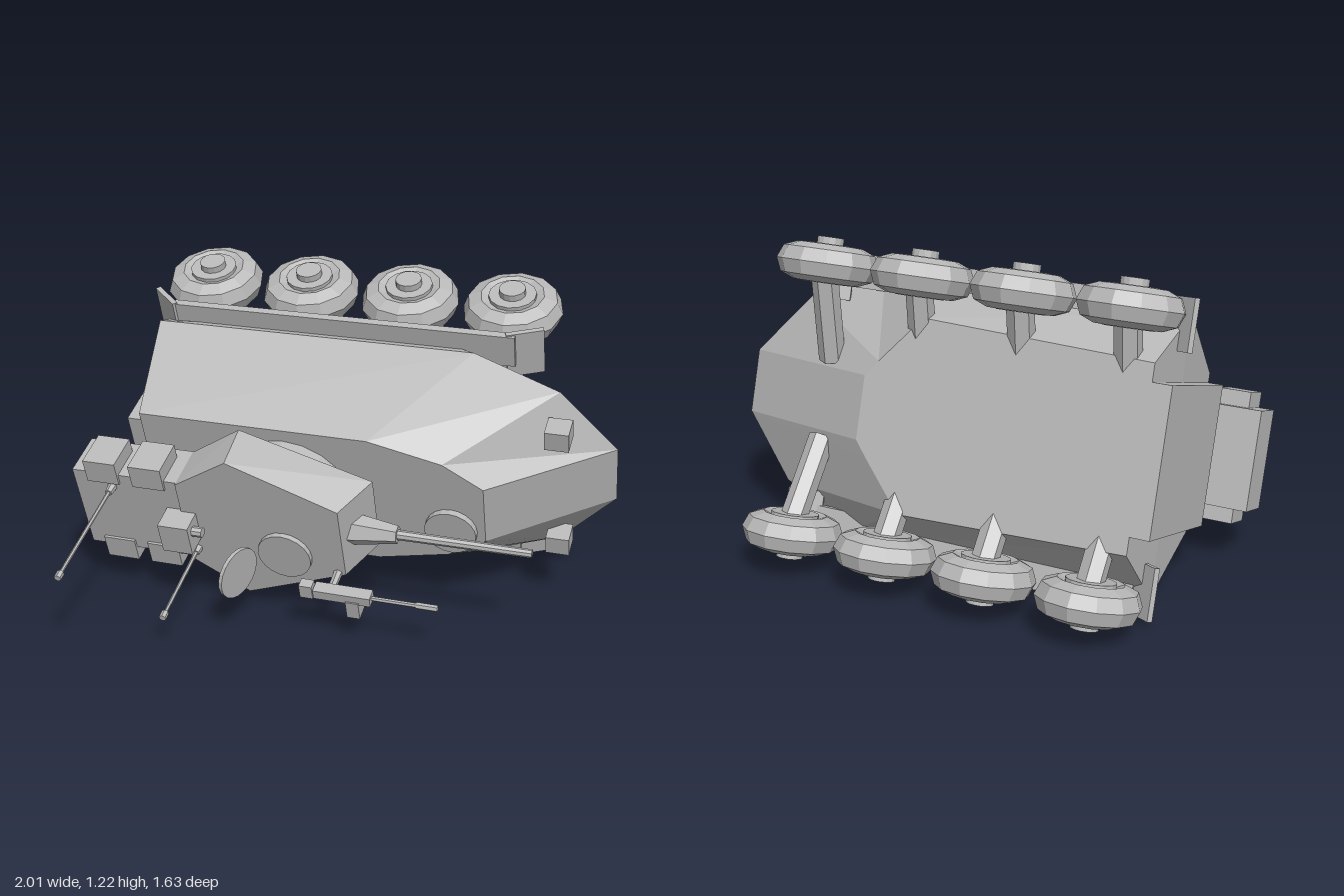
import * as THREE from 'three';

const grey = new THREE.MeshStandardMaterial({ color: 0xb8b8b8 });

// Vehicle space: x forward, y left, z up.
function add(parent, name, geometry, pos = [0, 0, 0], rot = [0, 0, 0]) {
  const flat = geometry.index ? geometry.toNonIndexed() : geometry;
  flat.computeVertexNormals();
  const mesh = new THREE.Mesh(flat, grey);
  mesh.name = name;
  mesh.position.set(...pos);
  mesh.rotation.set(...rot);
  parent.add(mesh);
  return mesh;
}

const box = (x, y, z) => new THREE.BoxGeometry(x, y, z);
const cyl = (top, bottom, h, n) => new THREE.CylinderGeometry(top, bottom, h, n);

// Straight rod between two points
function rod(parent, name, a, b, r0, r1, sides) {
  const p = new THREE.Vector3(...a), q = new THREE.Vector3(...b);
  const mesh = add(parent, name, cyl(r1, r0, p.distanceTo(q), sides));
  mesh.position.copy(p).lerp(q, 0.5);
  mesh.quaternion.setFromUnitVectors(new THREE.Vector3(0, 1, 0), q.sub(p).normalize());
}

// Closed body lofted through mirrored outlines, listed from bottom to top
function loft(levels) {
  const rings = levels.map(({ z, half }) => [
    ...half.map(([x, y]) => [x, -y, z]),
    ...half.slice().reverse().map(([x, y]) => [x, y, z]),
  ]);
  const n = rings[0].length, out = [];
  const tri = (...points) => points.forEach((p) => out.push(...p));
  for (let k = 0; k < rings.length - 1; k++) {
    const lo = rings[k], hi = rings[k + 1];
    for (let i = 0; i < n; i++) {
      const j = (i + 1) % n;
      tri(lo[i], lo[j], hi[j]);
      tri(lo[i], hi[j], hi[i]);
    }
  }
  const bottom = rings[0], top = rings[rings.length - 1];
  for (let i = 1; i < n - 1; i++) {
    tri(bottom[0], bottom[i + 1], bottom[i]);
    tri(top[0], top[i], top[i + 1]);
  }
  const g = new THREE.BufferGeometry();
  g.setAttribute('position', new THREE.Float32BufferAttribute(out, 3));
  return g;
}

function buildHull(v) {
  add(v, 'hull', loft([
    { z: -0.43, half: [[-0.76, 0.33], [0.13, 0.36], [0.29, 0.18], [0.34, 0.12]] },
    { z: -0.15, half: [[-0.775, 0.51], [0.47, 0.51], [0.785, 0.37], [1.0, 0.125]] },
    { z: 0.165, half: [[-0.775, 0.3], [0.13, 0.3], [0.41, 0.23], [0.56, 0.13]] },
  ]));
  add(v, 'rearDoor', box(0.075, 0.53, 0.59), [-0.795, 0, -0.135]);
  add(v, 'driverHatch', cyl(0.1, 0.1, 0.03, 20), [0.43, -0.09, 0.175], [Math.PI / 2, 0, 0]);
  for (const s of [1, -1]) {
    add(v, 'headlight', box(0.09, 0.08, 0.09), [0.8, s * 0.265, -0.035]);
    // Mudguards with angled ends
    add(v, 'mudguard', box(1.34, 0.13, 0.03), [-0.06, s * 0.495, -0.21]);
    add(v, 'frontMudflap', box(0.14, 0.19, 0.02), [0.64, s * 0.47, -0.235], [0, 0.4, 0]);
    add(v, 'rearMudflap', box(0.14, 0.19, 0.02), [-0.775, s * 0.47, -0.24], [0, -0.7, 0]);
  }
}

function buildWheels(v) {
  for (const s of [1, -1]) {
    for (let i = 0; i < 4; i++) {
      const wheel = new THREE.Group();
      wheel.name = 'wheel';
      wheel.position.set(0.552 - i * 0.401, s * 0.505, -0.44);
      // Tyre, hub and cap, around the axle
      add(wheel, 'tyre', new THREE.TorusGeometry(0.12, 0.07, 8, 12), [0, 0, 0], [Math.PI / 2, 0, 0]);
      add(wheel, 'hub', cyl(0.09, 0.09, 0.145, 14));
      add(wheel, 'hubCap', cyl(0.05, 0.05, 0.04, 14), [0, s * 0.078, 0]);
      v.add(wheel);
      const x = wheel.position.x;
      rod(v, 'suspensionArm', [x, s * 0.15, -0.32], [x, s * 0.48, -0.46], 0.05, 0.05, 6);
    }
  }
}

function buildTurret(v) {
  add(v, 'turretRing', cyl(0.25, 0.25, 0.08, 20), [-0.2, 0, 0.19], [Math.PI / 2, 0, 0]);
  add(v, 'turret', loft([
    { z: 0.225, half: [[-0.55, 0.19], [-0.34, 0.335], [0.16, 0.16]] },
    { z: 0.41, half: [[-0.55, 0.19], [-0.33, 0.335], [0.08, 0.16]] },
  ]));
  add(v, 'turretBustle', box(0.44, 0.38, 0.18), [-0.755, 0, 0.31]);
  for (const s of [1, -1]) for (const x of [-0.85, -0.665]) {
    add(v, 'stowageBox', box(0.13, 0.1, 0.15), [x, s * 0.2, 0.335]);
  }
  // Main gun
  rod(v, 'gunMantlet', [0.08, 0, 0.32], [0.27, 0, 0.32], 0.065, 0.035, 6);
  rod(v, 'gunBarrel', [0.2, 0, 0.32], [0.77, 0, 0.32], 0.02, 0.016, 8);
  // Sight block with lens
  add(v, 'sightBlock', box(0.12, 0.13, 0.1), [-0.55, -0.01, 0.45]);
  rod(v, 'sightLens', [-0.5, 0.01, 0.46], [-0.45, 0.01, 0.46], 0.02, 0.02, 8);
  // Hatch opening and its raised lid
  add(v, 'turretHatch', cyl(0.105, 0.105, 0.03, 20), [-0.15, -0.09, 0.415], [Math.PI / 2, 0, 0]);
  const lid = add(v, 'hatchLid', cyl(0.1, 0.1, 0.015, 20), [-0.29, -0.08, 0.55]);
  lid.rotation.set(0, -0.35, Math.PI / 2, 'YXZ');
  // Antennas
  for (const [x, y, top] of [[-0.82, 0.13, 0.89], [-0.51, -0.13, 0.78]]) {
    rod(v, 'antennaBase', [x, y, 0.4], [x, y, 0.44], 0.018, 0.014, 6);
    rod(v, 'antenna', [x, y, 0.4], [x, y, top], 0.008, 0.007, 6);
    rod(v, 'antennaTip', [x, y, top - 0.03], [x, y, top], 0.014, 0.014, 6);
  }
}

function buildMachineGun(v) {
  const y = -0.155, z = 0.51;
  add(v, 'machineGunBody', box(0.22, 0.04, 0.05), [0.1, y, z]);
  add(v, 'machineGunGrip', box(0.05, 0.06, 0.04), [-0.04, y, z]);
  add(v, 'ammoBox', box(0.05, 0.08, 0.06), [0.14, y - 0.05, z]);
  rod(v, 'machineGunMount', [0.05, y, 0.39], [0.05, y, z], 0.018, 0.014, 6);
  rod(v, 'machineGunBarrel', [0.2, y, z], [0.46, y, z], 0.009, 0.009, 6);
  rod(v, 'machineGunMuzzle', [0.38, y, z], [0.46, y, z], 0.013, 0.013, 6);
}

export function createModel() {
  const vehicle = new THREE.Group();
  vehicle.name = 'armouredVehicle';
  buildHull(vehicle);
  buildWheels(vehicle);
  buildTurret(vehicle);
  buildMachineGun(vehicle);

  // The vehicle lies on its right side, nose towards +x
  const forward = new THREE.Vector3(0.998, 0.01, 0.065).normalize();
  const up = new THREE.Vector3().crossVectors(forward, new THREE.Vector3(-0.029, 0.957, 0.29)).normalize();
  const left = new THREE.Vector3().crossVectors(up, forward);
  vehicle.quaternion.setFromRotationMatrix(new THREE.Matrix4().makeBasis(forward, left, up));
  vehicle.position.set(-0.003, 0.501, -0.029);

  const model = new THREE.Group();
  model.name = 'model';
  model.add(vehicle);
  return model;
}
